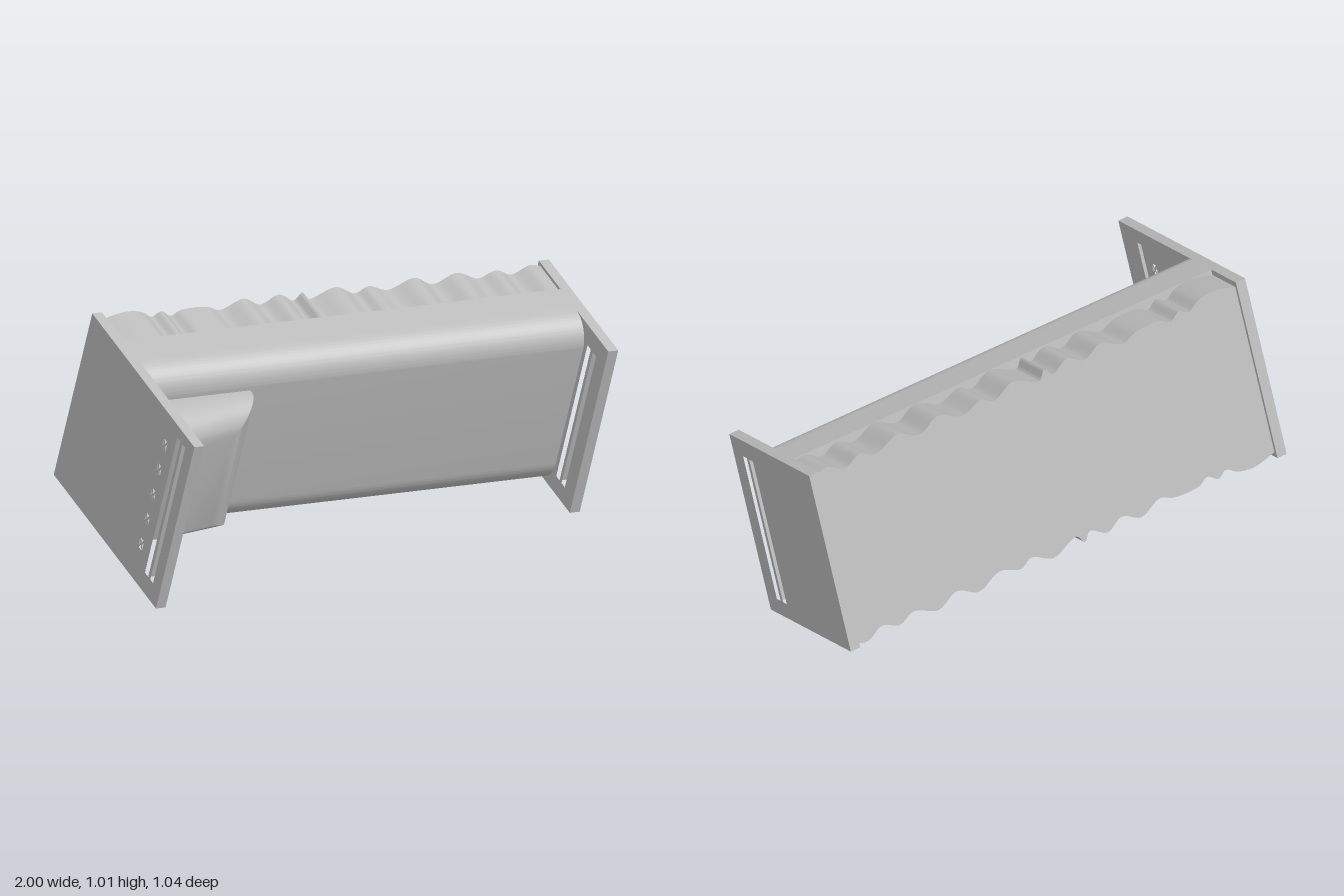
import * as THREE from 'three';
import { toCreasedNormals } from 'three/addons/utils/BufferGeometryUtils.js';

const grey = new THREE.MeshStandardMaterial({ color: 0xbcbcbc });
grey.name = 'plain grey';

function add(parent, name, geometry, crease = 0.6) {
  const mesh = new THREE.Mesh(toCreasedNormals(geometry, crease), grey);
  mesh.name = name;
  parent.add(mesh);
  return mesh;
}

// Closed outline from [depth, height] pairs; depth is +z after extrusion along x
const trace = (path, pts) => {
  pts.forEach(([w, v], i) => (i ? path.lineTo(-w, v) : path.moveTo(-w, v)));
  path.closePath();
  return path;
};
const rect = (w0, w1, v0, v1) => [[w0, v0], [w1, v0], [w1, v1], [w0, v1]];

// Extrude a side profile along x from u0 to u1
function alongX(shape, u0, u1) {
  const g = new THREE.ExtrudeGeometry(shape, { depth: u1 - u0, bevelEnabled: false, curveSegments: 14 });
  return g.rotateY(Math.PI / 2).translate(u0, 0, 0);
}

// Panel outline with a pair of long slots near its front edge
function panelShape(back, front, v0, v1, slot0, slot1) {
  const s = trace(new THREE.Shape(), rect(back, front, v0, v1));
  for (const w of [front - 0.1, front - 0.145]) {
    s.holes.push(trace(new THREE.Path(), rect(w, w + 0.028, slot0, slot1)));
  }
  return s;
}

// Four triangular openings leaving a crossed pair of bars
function crossHoles(shape, w, v) {
  const a = 0.016, b = 0.022, g = 0.005;
  for (const s of [-1, 1]) {
    shape.holes.push(trace(new THREE.Path(), [[w + s * g, v], [w + s * a, v - b + g], [w + s * a, v + b - g]]));
    shape.holes.push(trace(new THREE.Path(), [[w, v + s * g], [w - a + g, v + s * b], [w + a - g, v + s * b]]));
  }
}

// Wavy-edged rear block, fluted on its top and bottom
function flutedBlock(u0, u1, back, front) {
  const wave = [
    [u0, 0.80], [-0.87, 0.822], [-0.80, 0.812], [-0.75, 0.784], [-0.715, 0.805], [-0.67, 0.778], [-0.63, 0.80],
    [-0.52, 0.80], [-0.46, 0.778], [-0.37, 0.818], [-0.29, 0.782], [-0.22, 0.818], [-0.15, 0.782],
    [-0.12, 0.815], [-0.09, 0.78], [0.02, 0.822], [0.11, 0.782], [0.16, 0.808], [0.25, 0.78], [0.35, 0.822],
    [0.44, 0.782], [0.53, 0.822], [0.63, 0.784], [0.70, 0.812], [0.77, 0.784], [0.84, 0.818], [u1, 0.81]
  ];
  const curve = new THREE.CatmullRomCurve3(wave.map(([u, v]) => new THREE.Vector3(u, v, 0)));
  const pts = curve.getPoints(156);
  const s = new THREE.Shape();
  pts.forEach((p, i) => (i ? s.lineTo(p.x, p.y) : s.moveTo(p.x, p.y)));
  [...pts].reverse().forEach((p) => s.lineTo(p.x, 0.907 - p.y));
  s.closePath();
  return new THREE.ExtrudeGeometry(s, { depth: front - back, bevelEnabled: false }).translate(0, 0, back);
}

// Cushion of shrinking rectangular rings, rounded on all four sides
function cushion(u0, u1, v0, v1, base) {
  const pos = [], idx = [], n = 10;
  for (let k = 0; k <= n; k++) {
    const a = (k / n) * Math.PI / 2, d = 1 - Math.cos(a), h = Math.sin(a);
    const l = u0 + 0.15 * d, r = u1 - 0.13 * d, b = v0 + 0.05 * d, t = v1 - 0.15 * d;
    for (const [u, v] of [[l, b], [r, b], [r, t], [l, t]]) {
      const out = h * (0.225 - 0.1 * (u - u0) / (u1 - u0));
      pos.push(u, v + 0.28 * out, base + out);
    }
  }
  for (let k = 0; k < n; k++) {
    for (let j = 0; j < 4; j++) {
      const a = k * 4 + j, b = k * 4 + (j + 1) % 4;
      idx.push(a, b, b + 4, a, b + 4, a + 4);
    }
  }
  const e = n * 4;
  idx.push(e, e + 1, e + 2, e, e + 2, e + 3);
  const g = new THREE.BufferGeometry();
  g.setAttribute('position', new THREE.Float32BufferAttribute(pos, 3));
  g.setIndex(idx);
  return g;
}

export function createModel() {
  const model = new THREE.Group();
  model.name = 'tiltedUnit';
  const L = -0.963, R = 0.886, low = 0.086, high = 0.822;

  // Wide end panel: pierced inner plate with a shallow rim outside
  const wide = new THREE.Group();
  wide.name = 'wideEndPanel';
  const plate = panelShape(-0.563, 0.308, low, high, 0.147, 0.765);
  for (let i = 0; i < 5; i++) crossHoles(plate, 0.094, 0.23 + i * 0.1125);
  add(wide, 'piercedPlate', alongX(plate, -0.992, L));
  const rim = trace(new THREE.Shape(), rect(-0.563, 0.308, low, high));
  rim.holes.push(trace(new THREE.Path(), rect(-0.54, 0.25, low + 0.03, high - 0.03)));
  add(wide, 'outerRim', alongX(rim, -1.004, -0.992));
  model.add(wide);

  // Narrow end panel
  add(model, 'narrowEndPanel', alongX(panelShape(-0.565, 0.027, low, high, 0.152, 0.75), R, 0.928));

  // Smooth front of the body with rounded long edges
  const f = -0.14, r = 0.11, join = -0.38;
  const front = new THREE.Shape();
  front.moveTo(-join, low);
  front.lineTo(-(f - r), low);
  front.absarc(-(f - r), low + r, r, -Math.PI / 2, -Math.PI, true);
  front.lineTo(-f, high - r);
  front.absarc(-(f - r), high - r, r, Math.PI, Math.PI / 2, true);
  front.lineTo(-join, high);
  front.closePath();
  add(model, 'roundedFront', alongX(front, L, R));

  // Fluted rear of the body
  add(model, 'flutedBack', flutedBlock(L, R, -0.55, join));

  // Cushion on the front, beside the wide panel
  add(model, 'cushion', cushion(-0.957, -0.52, 0.122, 0.706, f - 0.002), 0.4);

  // Lean the whole unit forward and down to one side
  model.rotation.set(0.279, 0, -0.076, 'ZYX');
  const root = new THREE.Group();
  root.name = 'model';
  root.add(model);
  return root;
}
